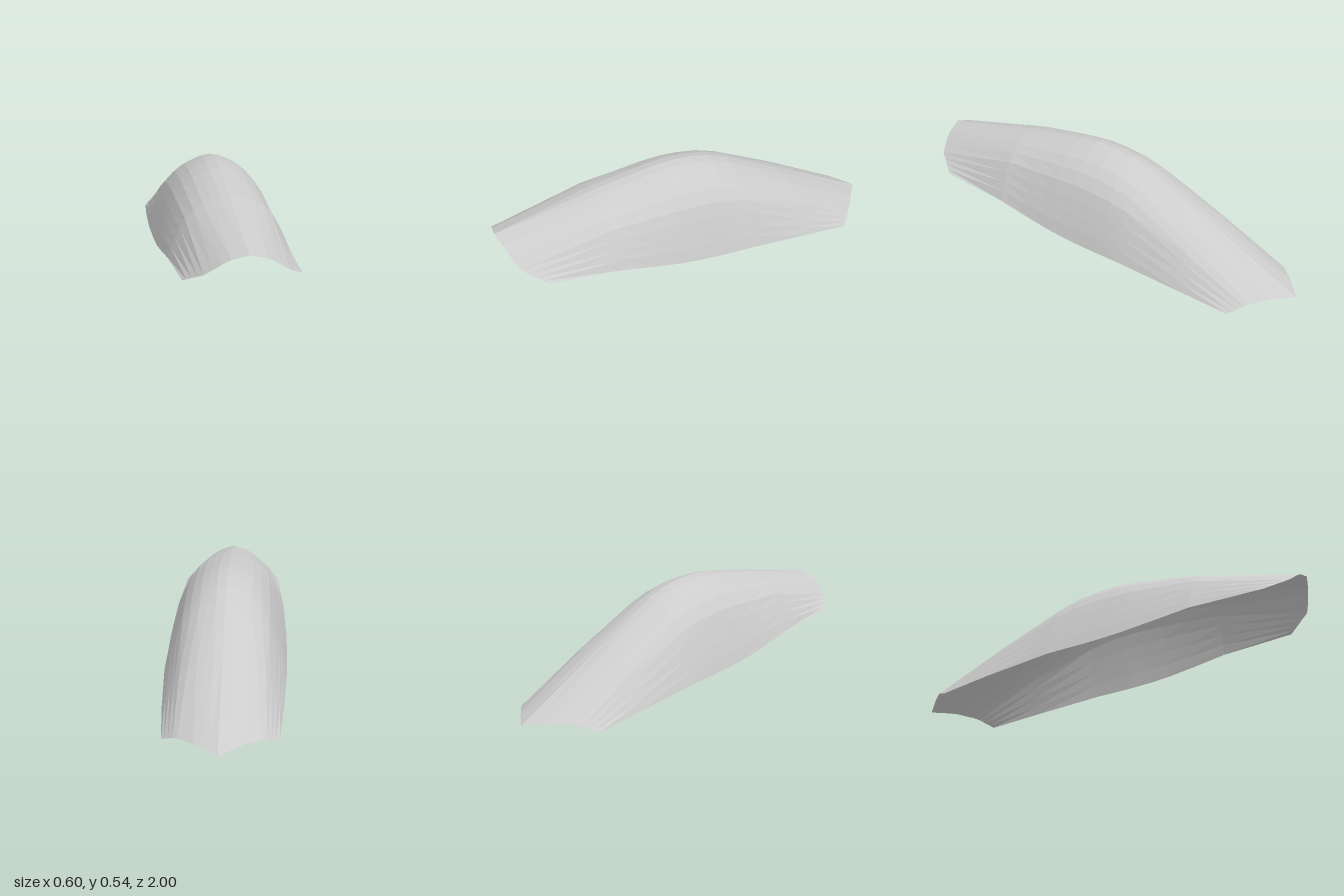
import * as THREE from 'three';

// Piecewise-linear lookup: rows of [key, ...values], keys rising
function sample(table, key) {
  let i = 0;
  while (i < table.length - 2 && key > table[i + 1][0]) i++;
  const a = table[i], b = table[i + 1];
  const t = (key - a[0]) / (b[0] - a[0]);
  return a.slice(1).map((v, k) => v + (b[k + 1] - v) * t);
}

// Half arch, crest to rim: share of half width, share of height
const ARCH = [
  [0, 1], [0.15, 0.98], [0.285, 0.934], [0.42, 0.878], [0.57, 0.776],
  [0.705, 0.636], [0.79, 0.483], [0.87, 0.318], [0.94, 0.16], [1, 0],
];

// Cross-sections: z, crest height, rim height, half width
const SECTIONS = [
  [0.5, 0.497, 0.215, 0.283],
  [0.32, 0.519, 0.175, 0.292],
  [0.2, 0.532, 0.15, 0.297],
  [0.1, 0.535, 0.133, 0.298],
  [0, 0.525, 0.12, 0.298],
  [-0.1, 0.503, 0.11, 0.298],
  [-0.2, 0.463, 0.1, 0.297],
  [-0.52, 0.29, 0.047, 0.28],
];

// Shaped end edges: x, y, z from the centre to the corner
const FRONT_EDGE = [[0, 0.415, 1], [0.086, 0.39, 0.985], [0.18, 0.32, 0.955], [0.26, 0.255, 0.85]];
const BACK_EDGE = [[0, 0.027, -1], [0.1, 0.044, -0.92], [0.195, 0.036, -0.84], [0.26, 0, -0.775]];

export function createModel() {
  const group = new THREE.Group();
  group.name = 'archedCover';

  // Full arch from one rim over the crest to the other
  const arch = [
    ...ARCH.slice(1).reverse().map(([u, h]) => [-u, h]),
    ...ARCH,
  ];
  const edgeRow = (edge) => arch.map(([u]) => {
    const x = u * 0.26;
    const [y, z] = sample(edge, Math.abs(x));
    return [x, y, z];
  });
  const rows = [
    edgeRow(FRONT_EDGE),
    ...SECTIONS.map(([z, crest, rim, half]) =>
      arch.map(([u, h]) => [u * half, rim + (crest - rim) * h, z])),
    edgeRow(BACK_EDGE),
  ];

  // Join neighbouring sections into one thin open sheet
  const n = arch.length;
  const index = [];
  for (let r = 0; r < rows.length - 1; r++) {
    for (let c = 0; c < n - 1; c++) {
      const a = r * n + c, b = a + 1, d = a + n, e = d + 1;
      // Mirror the diagonals about the centre line
      if (c < (n - 1) / 2) index.push(a, b, d, b, e, d);
      else index.push(a, b, e, a, e, d);
    }
  }
  const geometry = new THREE.BufferGeometry();
  geometry.setAttribute('position', new THREE.Float32BufferAttribute(rows.flat(2), 3));
  geometry.setIndex(index);
  geometry.computeVertexNormals();

  const shell = new THREE.Mesh(geometry, new THREE.MeshStandardMaterial({
    color: 0xcccccc, flatShading: true, side: THREE.DoubleSide,
  }));
  shell.name = 'curvedShell';
  group.add(shell);
  return group;
}
